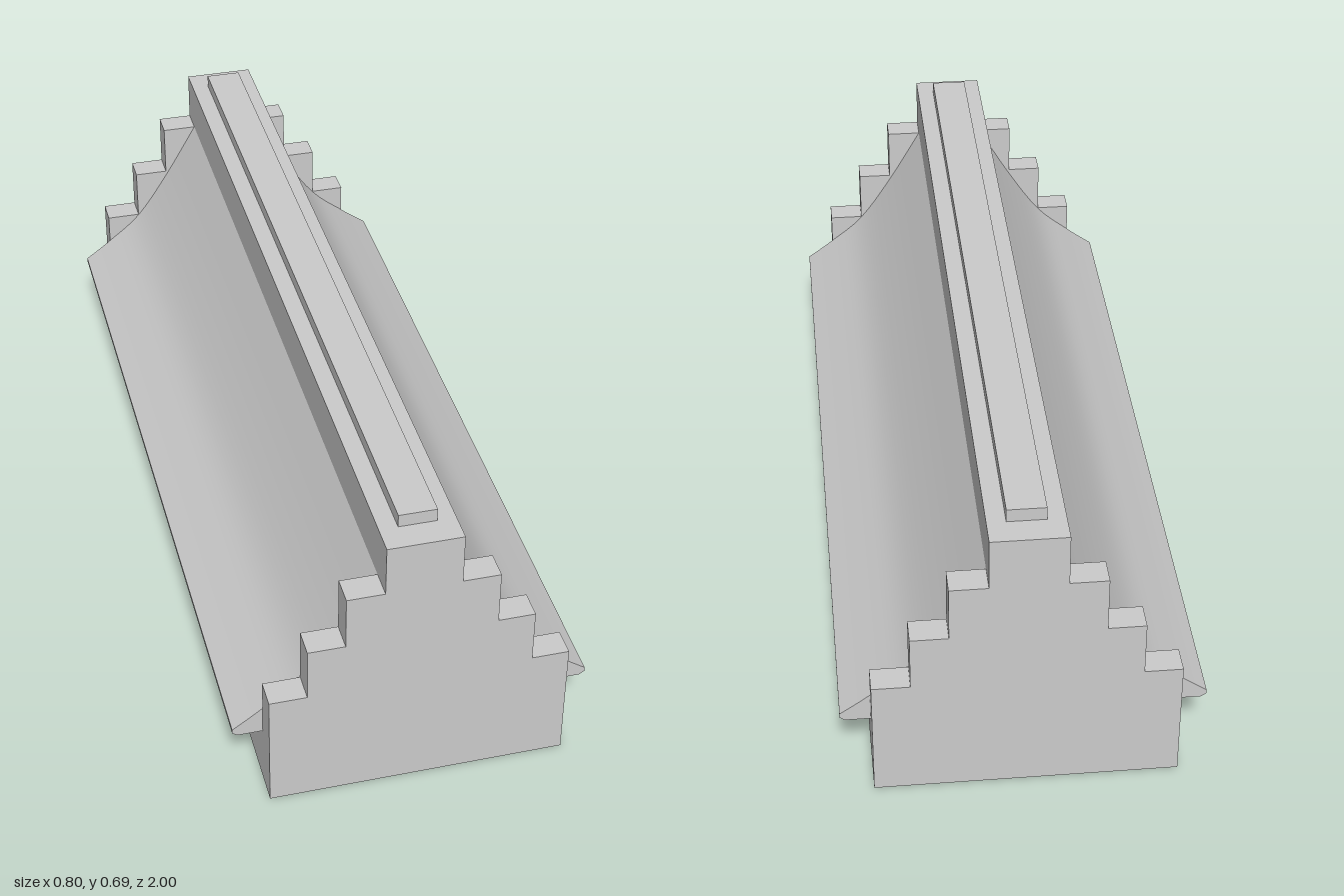
import * as THREE from 'three';
import { toCreasedNormals } from 'three/addons/utils/BufferGeometryUtils.js';

const CENTRE = -0.004; // the body sits slightly off the middle
const FRONT = 0.937, BACK = -0.937; // inner faces of the gable walls

const material = new THREE.MeshStandardMaterial({ color: 0xcccccc });

// Extrude a symmetrical profile, given as its right half from bottom to top, along z.
function symmetricPrism(name, half, z0, z1) {
  const right = half.map(([x, y]) => new THREE.Vector2(x + CENTRE, y));
  const left = half.map(([x, y]) => new THREE.Vector2(CENTRE - x, y)).reverse();
  const geometry = new THREE.ExtrudeGeometry(new THREE.Shape([...right, ...left]), {
    depth: z1 - z0, bevelEnabled: false,
  });
  geometry.translate(0, 0, z0);
  const mesh = new THREE.Mesh(toCreasedNormals(geometry, 0.35), material);
  mesh.name = name;
  return mesh;
}

export function createModel() {
  const group = new THREE.Group();
  group.name = 'steppedGableRoof';

  // Stepped gable walls at both ends
  const steps = [[0.331, 0.285], [0.248, 0.412], [0.166, 0.54], [0.083, 0.66]];
  const gable = [[steps[0][0], 0]];
  steps.forEach(([x, y], i) => {
    gable.push([x, y]);
    if (steps[i + 1]) gable.push([steps[i + 1][0], y]);
  });
  group.add(symmetricPrism('frontGable', gable, FRONT, 1));
  group.add(symmetricPrism('backGable', gable, -1, BACK));

  // Body with overhanging eaves, concave roof slopes and the ridge wall
  const slope = new THREE.SplineCurve([
    [0.398, 0.163], [0.331, 0.212], [0.248, 0.283], [0.166, 0.4], [0.083, 0.54],
  ].map(([x, y]) => new THREE.Vector2(x, y)));
  const body = [
    [0.331, 0], [0.331, 0.145], [0.387, 0.145], [0.398, 0.153],
    ...slope.getPoints(16).map((p) => [p.x, p.y]),
    [0.083, 0.66],
  ];
  group.add(symmetricPrism('roofBody', body, BACK, FRONT));

  // Narrow cap along the ridge
  group.add(symmetricPrism('ridgeCap', [[0.042, 0.66], [0.042, 0.69]], BACK, FRONT));

  return group;
}
